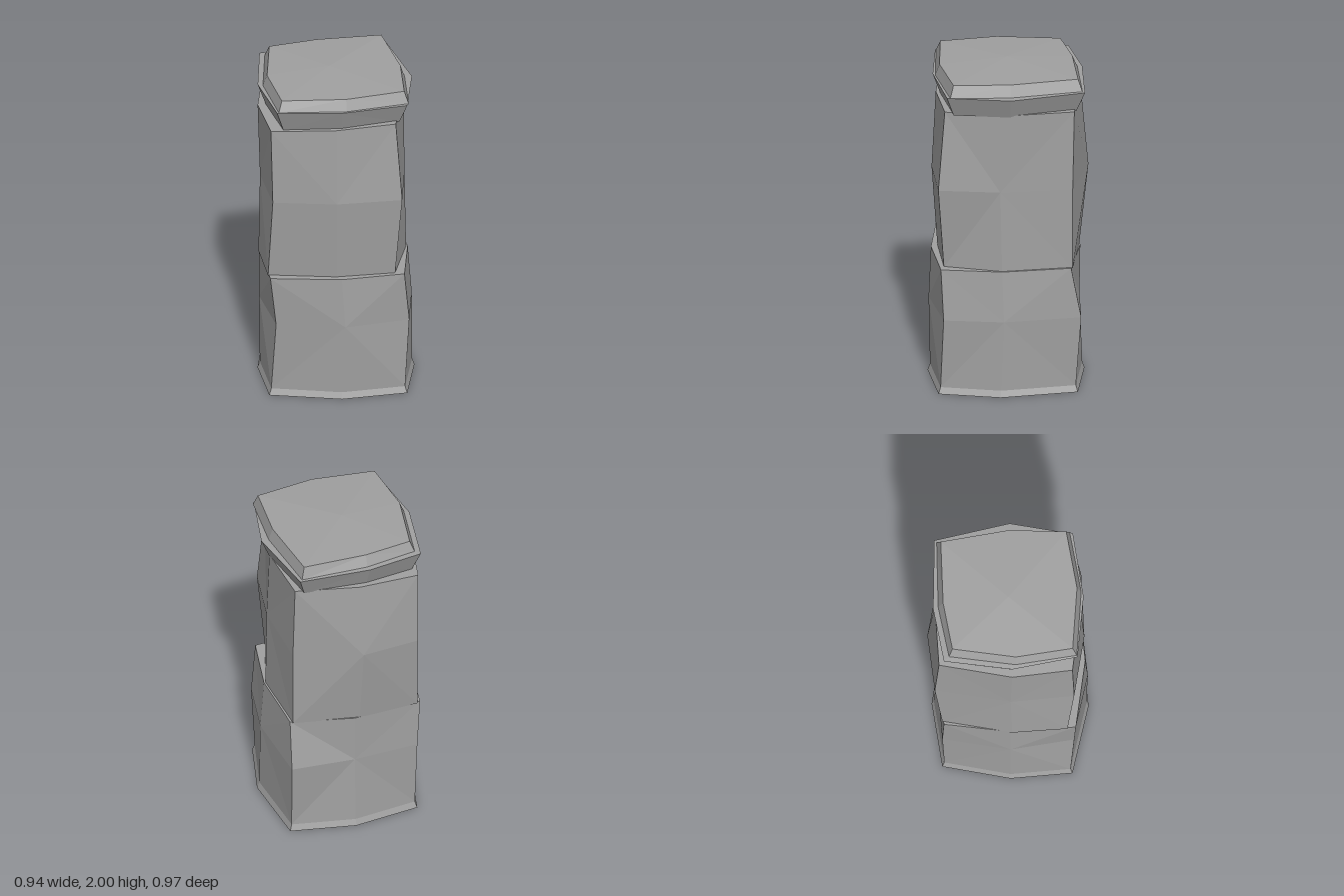
import * as THREE from 'three';

const stone = new THREE.MeshStandardMaterial({ color: 0xa0a0a0 });
stone.name = 'grey stone';
stone.flatShading = true;
stone.side = THREE.DoubleSide;

// Ring of [x, z] pairs running back-left, back, back-right, right, front-right, front, front-left, left.
// tilt raises the +x side a little.
function ring(y, xz, tilt = 0) {
  const pts = [];
  for (let i = 0; i < 16; i += 2) pts.push([xz[i], y + tilt * xz[i], xz[i + 1]]);
  return pts;
}

const scaled = (xz, s) => xz.map((v) => v * s);

// Rough stone block: walls between rings, and a fan on top meeting at the peak point.
// pivots[k] picks the wall diagonals of level k: 'up' leans them to the corners above, 'down' to those below.
function block(name, rings, pivots, peak) {
  const pos = [];
  const tri = (a, b, c) => pos.push(...a, ...b, ...c);
  for (let k = 0; k < rings.length - 1; k++) {
    const lo = rings[k], hi = rings[k + 1];
    for (let i = 0; i < 8; i++) {
      const j = (i + 1) % 8;
      const a = lo[j], b = lo[i], c = hi[i], d = hi[j];
      // odd points are the middles of the sides, even points the corners
      const useAC = (i % 2 === 0) === (pivots[k] === 'up');
      if (useAC) { tri(a, b, c); tri(a, c, d); }
      else { tri(a, b, d); tri(b, c, d); }
    }
  }
  const top = rings[rings.length - 1];
  for (let i = 0; i < 8; i++) tri(top[(i + 1) % 8], top[i], peak);
  const geo = new THREE.BufferGeometry();
  geo.setAttribute('position', new THREE.Float32BufferAttribute(pos, 3));
  geo.computeVertexNormals();
  const mesh = new THREE.Mesh(geo, stone);
  mesh.name = name;
  return mesh;
}

export function createModel() {
  const model = new THREE.Group();
  model.name = 'stonePillar';

  // Lower block, open underneath, with a slight flare at the foot
  const foot = [-0.40, -0.39, 0, -0.46, 0.395, -0.405, 0.47, 0.06, 0.395, 0.43, 0, 0.48, -0.43, 0.39, -0.47, 0.02];
  model.add(block('lowerBlock', [
    ring(0, foot),
    ring(0.04, scaled(foot, 0.97)),
    ring(0.48, [-0.40, -0.39, 0, -0.43, 0.39, -0.425, 0.455, 0.04, 0.41, 0.40, 0.02, 0.475, -0.39, 0.40, -0.46, 0.02]),
    ring(0.795, [-0.42, -0.38, 0, -0.435, 0.385, -0.365, 0.43, 0.05, 0.38, 0.415, 0, 0.46, -0.425, 0.41, -0.46, 0.02]),
  ], ['up', 'down', 'up'], [0, 0.795, 0]));

  // Middle block, narrower and leaning a little
  model.add(block('middleBlock', [
    ring(0.79, [-0.40, -0.39, -0.03, -0.43, 0.37, -0.375, 0.42, 0.05, 0.325, 0.395, -0.03, 0.42, -0.435, 0.36, -0.465, 0.03]),
    ring(1.3, [-0.39, -0.435, -0.04, -0.485, 0.37, -0.375, 0.41, 0.06, 0.365, 0.43, -0.03, 0.455, -0.41, 0.40, -0.455, 0.02]),
    ring(1.785, [-0.40, -0.41, -0.03, -0.44, 0.36, -0.385, 0.41, 0, 0.33, 0.39, -0.03, 0.43, -0.42, 0.39, -0.47, 0.03], 0.025),
  ], ['down', 'up'], [-0.02, 1.785, 0]));

  // Capstone: undercut rim, small ledge, bevel and shallow crown
  const rim = [-0.425, -0.38, -0.09, -0.45, 0.345, -0.45, 0.46, 0, 0.40, 0.38, 0, 0.45, -0.385, 0.42, -0.47, 0.03];
  model.add(block('capstone', [
    ring(1.775, scaled(rim, 0.89), 0.02),
    ring(1.91, rim),
    ring(1.912, [-0.395, -0.35, -0.08, -0.42, 0.33, -0.435, 0.415, 0, 0.41, 0.36, 0.03, 0.435, -0.375, 0.415, -0.44, 0.05]),
    ring(1.982, [-0.37, -0.33, -0.08, -0.39, 0.31, -0.41, 0.39, 0, 0.385, 0.34, 0.03, 0.41, -0.355, 0.39, -0.415, 0.05], 0.01),
  ], ['down', 'down', 'down'], [-0.04, 2, 0]));

  return model;
}
